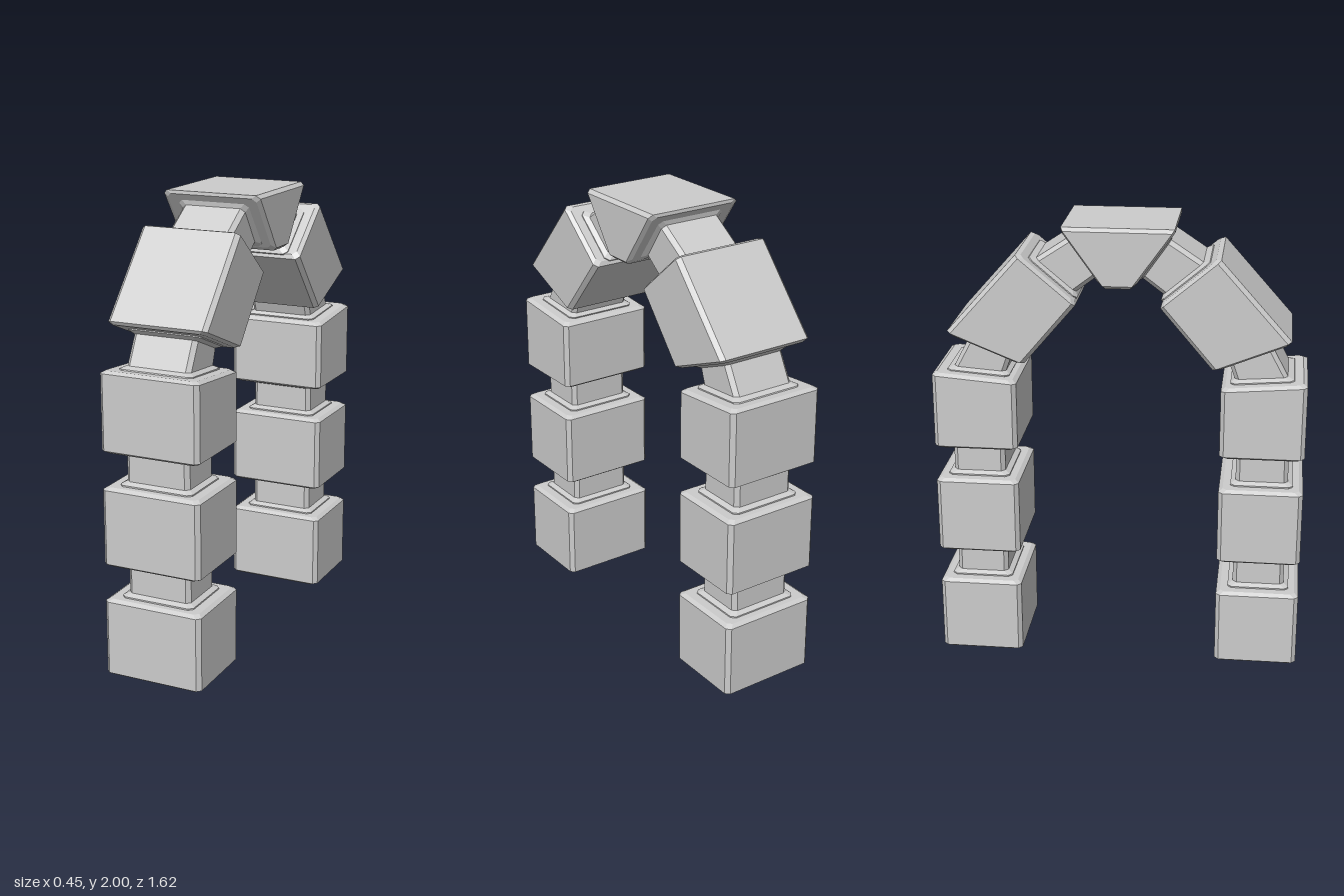
import * as THREE from 'three';

const material = new THREE.MeshStandardMaterial({ color: 0xcccccc, flatShading: true });

// Lofts a chamfered rectangle between two end edges given in the (z, y) plane.
// from/to: [[outer z, y], [inner z, y]]; rings: [end (0 or 1), depth from that end, inset].
function loft(name, from, to, halfX, corner, rings) {
  const v = ([z, y]) => new THREE.Vector3(0, y, z);
  const [a0, a1, b0, b1] = [...from, ...to].map(v);
  const along = (a, b, end, depth) => {
    const t = depth / a.distanceTo(b);
    return a.clone().lerp(b, end ? 1 - t : t);
  };
  const sections = rings.map(([end, depth, inset]) => {
    const outer = along(a0, b0, end, depth);
    const inner = along(a1, b1, end, depth);
    const mid = outer.clone().add(inner).multiplyScalar(0.5);
    const dir = outer.clone().sub(inner).normalize();
    const w = outer.distanceTo(inner) / 2 - inset;
    const h = halfX - inset;
    const c = corner;
    // octagon in (outward, x)
    return [[w, -h + c], [w, h - c], [w - c, h], [-w + c, h],
      [-w, h - c], [-w, -h + c], [-w + c, -h], [w - c, -h]]
      .map(([o, x]) => mid.clone().addScaledVector(dir, o).setX(x));
  });

  const pos = [];
  const tri = (...pts) => pts.forEach((p) => pos.push(p.x, p.y, p.z));
  for (let s = 0; s < sections.length - 1; s++) {
    for (let i = 0; i < 8; i++) {
      const j = (i + 1) % 8;
      const lo = sections[s], hi = sections[s + 1];
      tri(lo[i], lo[j], hi[j]);
      tri(lo[i], hi[j], hi[i]);
    }
  }
  const first = sections[0], last = sections[sections.length - 1];
  for (let i = 1; i < 7; i++) {
    tri(first[0], first[i + 1], first[i]);
    tri(last[0], last[i], last[i + 1]);
  }
  const geometry = new THREE.BufferGeometry();
  geometry.setAttribute('position', new THREE.Float32BufferAttribute(pos, 3));
  geometry.computeVertexNormals();
  const mesh = new THREE.Mesh(geometry, material);
  mesh.name = name;
  return mesh;
}

// Stone with softened ends
const block = (name, from, to) => loft(name, from, to, 0.225, 0.018,
  [[0, 0, 0.018], [0, 0.012, 0], [1, 0.012, 0], [1, 0, 0.018]]);

// Narrow joint that flares out where it meets the stones
const neck = (name, from, to) => loft(name, from, to, 0.145, 0.018,
  [[0, -0.01, -0.022], [0, 0.006, -0.022], [0, 0.018, 0],
    [1, 0.018, 0], [1, 0.006, -0.022], [1, -0.01, -0.022]]);

function createSide(name) {
  const side = new THREE.Group();
  side.name = name;
  const level = (y, outer, inner) => [[outer, y], [inner, y]];

  // Pillar: three stones, the top one cut at a slight slope
  const slopedTop = [[0.812, 1.345], [0.443, 1.315]];
  for (let i = 0; i < 3; i++) {
    const y = i * 0.497;
    side.add(block('pillarBlock' + (i + 1), level(y, 0.812, 0.443),
      i < 2 ? level(y + 0.35, 0.812, 0.443) : slopedTop));
    if (i < 2) side.add(neck('pillarNeck' + (i + 1),
      level(y + 0.35, 0.745, 0.515), level(y + 0.497, 0.745, 0.515)));
  }

  // Slanted stone and its joints to the pillar and the keystone
  side.add(neck('lowerArchNeck', [[0.735, 1.338], [0.505, 1.32]], [[0.655, 1.49], [0.47, 1.415]]));
  side.add(block('archBlock', [[0.745, 1.525], [0.412, 1.39]], [[0.425, 1.885], [0.173, 1.672]]));
  side.add(neck('upperArchNeck', [[0.37, 1.837], [0.2, 1.693]], [[0.203, 1.948], [0.085, 1.78]]));
  return side;
}

export function createModel() {
  const model = new THREE.Group();
  model.name = 'archway';
  const front = createSide('frontSide');
  const back = createSide('backSide');
  back.rotation.y = Math.PI;
  model.add(front, back);

  // Wedge-shaped stone at the crown
  model.add(block('keystone', [[0.25, 2], [0.064, 1.741]], [[-0.25, 2], [-0.064, 1.741]]));
  return model;
}
